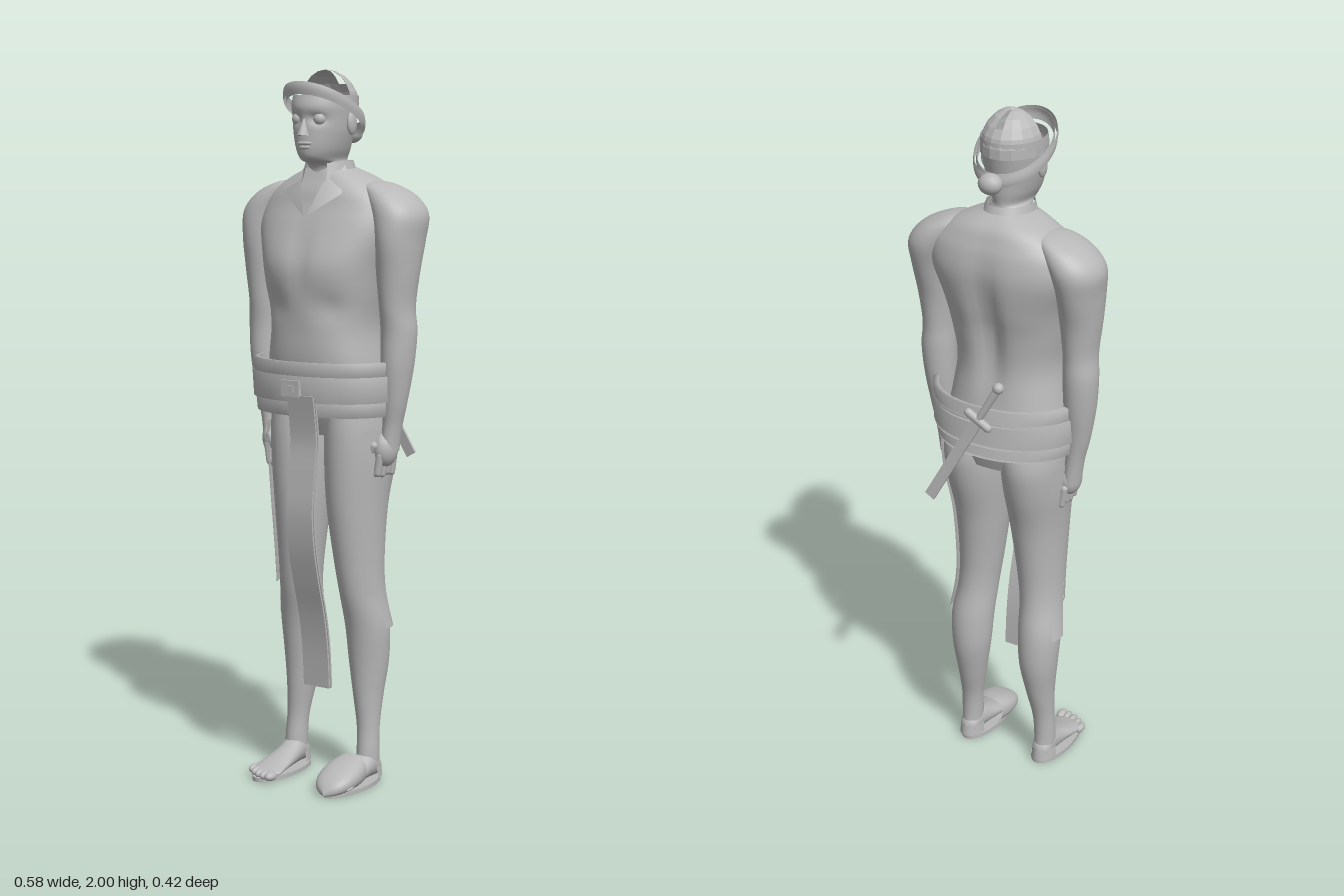
import * as THREE from 'three';

const grey = new THREE.MeshStandardMaterial({ color: 0xb8b8b8, side: THREE.DoubleSide });
grey.name = 'clay grey';

// Smooth interpolation through rows of numbers
function spline(rows, t) {
  const i = Math.min(Math.floor(t), rows.length - 2), u = t - i;
  const at = k => rows[Math.max(0, Math.min(rows.length - 1, k))];
  const [a, b, c, d] = [at(i - 1), at(i), at(i + 1), at(i + 2)];
  return b.map((_, k) => 0.5 * (2 * b[k] + (c[k] - a[k]) * u
    + (2 * a[k] - 5 * b[k] + 4 * c[k] - d[k]) * u * u
    + (3 * b[k] - a[k] - 3 * c[k] + d[k]) * u * u * u));
}

// Skin over rings [y, centreX, halfWidth, zFront, zBack], listed upwards
function loft(rows, { p = 2, n = 36, steps = 5, from = 0, to = Math.PI * 2, warp } = {}) {
  const closed = to - from > 6.28, cols = closed ? n : n + 1;
  const pos = [], idx = [], count = (rows.length - 1) * steps;
  const pow = v => Math.sign(v) * Math.abs(v) ** (2 / p);
  for (let i = 0; i <= count; i++) {
    const [y, cx, rx, zf, zb] = spline(rows, i / steps);
    for (let j = 0; j < cols; j++) {
      const a = from + (to - from) * j / n;
      const v = new THREE.Vector3(cx + Math.max(rx, 0) * pow(Math.sin(a)), y,
        (zf + zb) / 2 + (zf - zb) / 2 * pow(Math.cos(a)));
      if (warp) warp(v);
      pos.push(v.x, v.y, v.z);
      if (i < count && j < n) {
        const k = (j + 1) % cols, q = i * cols;
        idx.push(q + j, q + k, q + cols + j, q + k, q + cols + k, q + cols + j);
      }
    }
  }
  const g = new THREE.BufferGeometry();
  g.setAttribute('position', new THREE.Float32BufferAttribute(pos, 3));
  g.setIndex(idx);
  g.computeVertexNormals();
  return g;
}

// Same, but lying along z: rings [z, centreX, halfWidth, top, bottom]
const loftZ = (rows, opts) =>
  loft(rows.map(([z, x, r, top, bottom]) => [z, x, r, -bottom, -top]), opts).rotateX(Math.PI / 2);

const bump = (d, w) => Math.exp(-((d / w) ** 2));

export function createModel() {
  const model = new THREE.Group();
  const add = (name, geo, x = 0, y = 0, z = 0, parent = model) => {
    const m = new THREE.Mesh(geo, grey);
    m.name = name;
    m.position.set(x, y, z);
    parent.add(m);
    return m;
  };
  const ball = (name, x, y, z, rx, ry = rx, rz = rx) =>
    add(name, new THREE.SphereGeometry(1, 16, 12), x, y, z).scale.set(rx, ry, rz);

  // Torso with chest line and spine groove
  add('torso', loft([
    [1.0, 0, 0.14, 0.09, -0.12], [1.08, 0, 0.18, 0.12, -0.14], [1.2, 0, 0.165, 0.148, -0.125],
    [1.3, 0, 0.152, 0.152, -0.115], [1.4, 0, 0.168, 0.158, -0.125], [1.48, 0, 0.185, 0.158, -0.142],
    [1.57, 0, 0.215, 0.125, -0.152], [1.63, 0, 0.21, 0.1, -0.145], [1.67, 0, 0.18, 0.088, -0.132],
    [1.705, 0, 0.13, 0.072, -0.115], [1.735, 0, 0.06, 0.06, -0.08],
  ], { p: 2.4, n: 60, warp: v => {
    if (v.z < 0) v.z += 0.03 * bump(v.x, 0.035) * bump(v.y - 1.42, 0.17);
    else v.z -= 0.01 * bump(v.x, 0.025) * bump(v.y - 1.5, 0.08)
      + 0.012 * bump(v.y - 1.36, 0.04) * bump(Math.abs(v.x) - 0.09, 0.05);
  } }));

  // Head, open at the crown, with eye sockets
  add('head', loft([
    [1.62, 0, 0.06, 0.06, -0.08], [1.7, 0, 0.056, 0.064, -0.07], [1.742, 0, 0.054, 0.07, -0.06],
    [1.757, 0, 0.05, 0.114, -0.058], [1.785, 0, 0.063, 0.126, -0.062], [1.83, 0, 0.076, 0.126, -0.066],
    [1.87, 0, 0.082, 0.125, -0.074], [1.9, 0, 0.085, 0.129, -0.08], [1.93, 0, 0.085, 0.12, -0.08],
  ], { n: 48, warp: v => {
    if (v.z > 0.05) v.z -= 0.012 * bump(Math.abs(v.x) - 0.034, 0.02) * bump(v.y - 1.866, 0.013);
  } }));
  const nose = add('nose', new THREE.ConeGeometry(0.017, 0.055, 12), 0, 1.848, 0.124);
  nose.scale.z = 1.1;
  nose.rotation.x = -0.12;
  ball('upperLip', 0, 1.801, 0.122, 0.024, 0.006, 0.009);
  ball('lowerLip', 0, 1.79, 0.12, 0.02, 0.007, 0.009);
  add('innerMouth', new THREE.BoxGeometry(0.08, 0.05, 0.07), 0, 1.81, 0.065);
  for (const s of [-1, 1]) {
    ball('eye', s * 0.035, 1.866, 0.1, 0.018);
    ball('ear', s * 0.086, 1.855, 0.02, 0.01, 0.032, 0.02);
  }

  // Faceted half cap, split along the crown
  const cap = new THREE.Group();
  cap.name = 'cap';
  model.add(cap);
  const capPart = (phi, len, theta, tLen, seg) => {
    const g = new THREE.SphereGeometry(1, seg, 3, phi, len, theta, tLen).scale(0.086, 0.1, 0.106).toNonIndexed();
    g.computeVertexNormals();
    add('capPanel', g, 0, 1.9, 0.022, cap);
  };
  capPart(Math.PI, Math.PI / 2 - 0.18, 0, 0.9, 4);
  capPart(Math.PI * 1.5 + 0.18, Math.PI / 2 - 0.18, 0, 0.9, 4);
  capPart(Math.PI, Math.PI, 0.9, 0.8, 9);

  // Tilted headband with a knot behind
  const tilt = v => { v.y += (v.z - 0.025) * 0.5; };
  for (const [name, r] of [['headbandOuter', 0.106], ['headbandInner', 0.098]])
    add(name, loft([[1.875, 0, r, 0.025 + r * 1.17, 0.025 - r * 1.12],
      [1.89, 0, r + 0.002, 0.028 + r * 1.17, 0.022 - r * 1.12],
      [1.905, 0, r, 0.025 + r * 1.17, 0.025 - r * 1.12]], { n: 48, steps: 2, warp: tilt }));
  ball('headbandKnot', 0, 1.828, -0.104, 0.034, 0.029, 0.029);

  // Shirt collar with two folded points
  add('collarBand', loft([[1.665, 0, 0.085, 0.1, -0.115], [1.71, 0, 0.074, 0.085, -0.09],
    [1.752, 0, 0.064, 0.072, -0.068]], { from: 0.55, to: Math.PI * 2 - 0.55 }));
  for (const s of [-1, 1]) {
    const g = new THREE.BufferGeometry().setFromPoints([
      [0.062, 1.745, 0.02], [0.035, 1.69, 0.09], [0.004, 1.605, 0.122], [0.095, 1.665, 0.085], [0.09, 1.69, 0.02],
    ].map(([x, y, z]) => new THREE.Vector3(s * x, y, z)));
    g.setIndex(s > 0 ? [0, 1, 3, 1, 2, 3, 0, 3, 4] : [0, 3, 1, 1, 3, 2, 0, 4, 3]);
    g.computeVertexNormals();
    add('collarPoint', g);
  }

  for (const s of [-1, 1]) {
    const side = rows => rows.map(([y, x, ...r]) => [y, s * x, ...r]);

    // Arm
    add('arm', loft(side([
      [0.96, 0.198, 0.026, 0.032, -0.034], [1.03, 0.208, 0.026, 0.03, -0.034], [1.1, 0.216, 0.034, 0.038, -0.04],
      [1.2, 0.222, 0.044, 0.048, -0.056], [1.29, 0.224, 0.048, 0.048, -0.064], [1.36, 0.221, 0.046, 0.056, -0.064],
      [1.45, 0.222, 0.055, 0.065, -0.075], [1.54, 0.223, 0.062, 0.075, -0.1], [1.61, 0.215, 0.074, 0.07, -0.115],
      [1.66, 0.185, 0.066, 0.055, -0.105], [1.69, 0.15, 0.04, 0.03, -0.08], [1.7, 0.14, 0, -0.02, -0.04],
    ])));

    // Half-closed hand
    ball('palm', s * 0.19, 0.965, 0.005, 0.032, 0.05, 0.042);
    for (let i = 0; i < 4; i++) {
      const z = 0.036 - i * 0.023;
      const finger = add('finger', new THREE.CapsuleGeometry(0.011, 0.05, 4, 8), s * 0.188, 0.925 - 0.004 * (i % 2), z);
      finger.rotation.z = -s * 0.15;
      const tip = add('fingertip', new THREE.CapsuleGeometry(0.01, 0.025, 4, 8), s * 0.166, 0.905, z);
      tip.rotation.z = s * 1.0;
    }
    const thumb = add('thumb', new THREE.CapsuleGeometry(0.012, 0.05, 4, 8), s * 0.165, 0.955, 0.045);
    thumb.rotation.z = -s * 0.5;

    // Leg
    const leg = side([
      [0.04, 0.125, 0.03, 0.03, -0.048], [0.09, 0.125, 0.031, 0.026, -0.045], [0.16, 0.122, 0.032, 0.02, -0.05],
      [0.25, 0.116, 0.042, 0.024, -0.072], [0.35, 0.113, 0.056, 0.03, -0.092], [0.45, 0.112, 0.062, 0.042, -0.09],
      [0.55, 0.103, 0.058, 0.064, -0.072], [0.65, 0.096, 0.063, 0.08, -0.072], [0.8, 0.09, 0.075, 0.1, -0.092],
      [0.93, 0.091, 0.086, 0.108, -0.128], [1.02, 0.092, 0.088, 0.108, -0.142], [1.1, 0.088, 0.085, 0.1, -0.125],
    ]);
    add('leg', loft(leg));

    // Loose cloth panel on the outer thigh, cut lower at the back
    const panel = (lo, a, b) => add('thighPanel', loft(
      leg.slice(lo, 11).map(([y, x, r, f, k]) => [y, x + s * 0.008, r + 0.003, f + 0.004, k - 0.004]),
      { n: 10, from: s > 0 ? a : -b, to: s > 0 ? b : -a }));
    panel(6, 0.75, 1.4);
    panel(5, 1.4, 2.15);

    // Foot and thin sole
    add('foot', loftZ([
      [-0.055, 0.125, 0, 0.04, 0.02], [-0.042, 0.125, 0.025, 0.065, 0.01], [0, 0.124, 0.033, 0.09, 0.01],
      [0.05, 0.122, 0.038, 0.068, 0.01], [0.11, 0.122, 0.046, 0.045, 0.01], [0.155, 0.122, 0.048, 0.03, 0.01],
      [0.172, 0.122, 0, 0.02, 0.015],
    ].map(([z, x, ...r]) => [z, s * x, ...r])));
    add('sole', new THREE.CylinderGeometry(1, 1, 0.012, 32).scale(0.052, 1, 0.125), s * 0.122, 0.006, 0.068);
    add('heelStrap', loft([[0.012, s * 0.125, 0.037, 0.05, -0.06], [0.045, s * 0.125, 0.034, 0.05, -0.056]],
      { from: 1.6, to: 4.68, steps: 2 }));
  }

  // Toes of the bare right foot
  for (let i = 0; i < 5; i++)
    ball('toe', -0.082 - i * 0.021, 0.02, 0.178 - i * i * 0.0022, i ? 0.011 : 0.015, 0.013, 0.022);

  // Domed slipper on the left foot
  add('slipper', loftZ([[0.055, 0.112, 0.052, 0.09, 0.004], [0.1, 0.113, 0.06, 0.08, 0.003],
    [0.15, 0.116, 0.055, 0.062, 0.003], [0.185, 0.118, 0.036, 0.042, 0.004], [0.207, 0.12, 0, 0.015, 0.008]], { p: 2.3 }));

  // Three-banded belt with buckle
  for (const [y0, y1, r] of [[1.06, 1.105, 0.212], [1.1, 1.172, 0.222], [1.167, 1.21, 0.22]])
    add('beltBand', loft([[y0, 0, r - 0.014, r - 0.052, 0.036 - r], [y0, 0, r, r - 0.044, 0.05 - r], [y1, 0, r + 0.004, r - 0.04, 0.046 - r],
      [y1, 0, r - 0.014, r - 0.052, 0.058 - r]], { n: 56, steps: 1, p: 2.2 }));
  add('buckle', new THREE.BoxGeometry(0.06, 0.045, 0.018), -0.003, 1.138, 0.18);
  add('buckleStud', new THREE.BoxGeometry(0.026, 0.02, 0.01), -0.003, 1.138, 0.19);

  // Hanging sash, two layers swaying towards the shins
  const fall = [[1.12, 0.178], [1.0, 0.162], [0.9, 0.172], [0.8, 0.182], [0.7, 0.174], [0.6, 0.152], [0.5, 0.125], [0.4, 0.108], [0.285, 0.1]];
  for (const [name, x, w, dz] of [['sashFront', 0.027, 0.086, 0.004], ['sashBack', 0.035, 0.07, -0.006]]) {
    const g = new THREE.BoxGeometry(w, 1, 0.006, 1, 40, 1), a = g.attributes.position;
    for (let i = 0; i < a.count; i++) {
      const [y, z] = spline(fall, (0.5 - a.getY(i)) * (fall.length - 1));
      a.setXYZ(i, a.getX(i), y, z + dz + a.getZ(i));
    }
    g.computeVertexNormals();
    add(name, g, x);
  }

  // Dagger tucked behind the belt
  const top = new THREE.Vector3(-0.062, 1.285, -0.168), tip = new THREE.Vector3(0.143, 0.912, -0.205);
  const dagger = new THREE.Group();
  dagger.name = 'dagger';
  dagger.position.copy(top);
  dagger.quaternion.setFromUnitVectors(new THREE.Vector3(0, 1, 0), top.clone().sub(tip).normalize());
  model.add(dagger);
  add('handle', new THREE.CylinderGeometry(0.012, 0.01, 0.12, 12), 0, -0.06, 0, dagger);
  add('pommel', new THREE.SphereGeometry(0.016, 12, 8), 0, -0.005, 0, dagger);
  add('guard', new THREE.CapsuleGeometry(0.012, 0.07, 4, 10).rotateZ(Math.PI / 2), 0, -0.125, 0, dagger);
  add('blade', new THREE.BoxGeometry(0.032, 0.29, 0.007), 0, -0.278, 0, dagger);

  return model;
}
